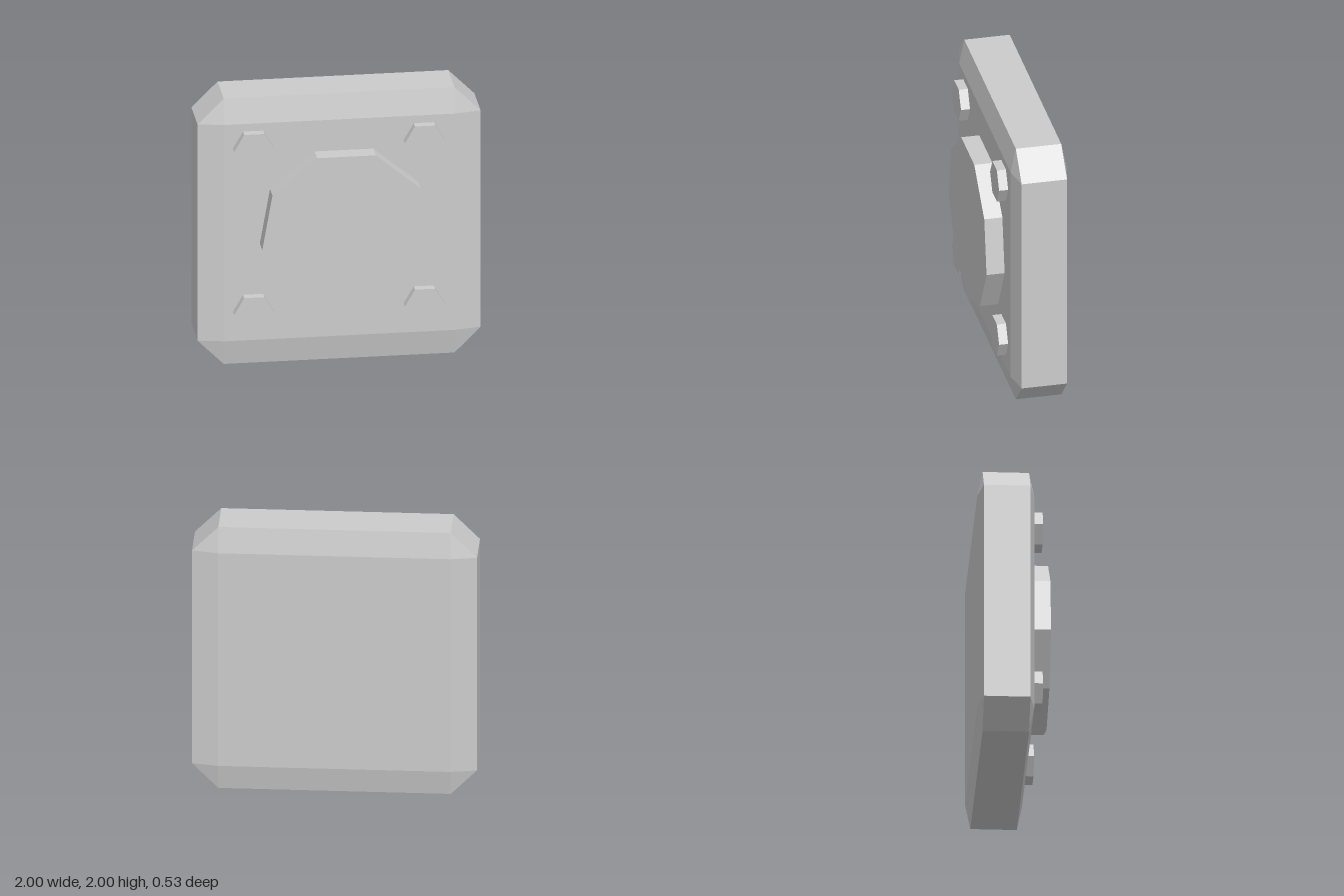
import * as THREE from 'three';
import { ConvexGeometry } from 'three/addons/geometries/ConvexGeometry.js';

const material = new THREE.MeshStandardMaterial({ color: 0xcccccc, flatShading: true });

// Flat prism whose axis points forward along z, from zBack to zFront
function addPrism(group, name, sides, radius, x, y, zBack, zFront, start = 0) {
  const depth = zFront - zBack;
  const geometry = new THREE.CylinderGeometry(radius, radius, depth, sides, 1, false, start);
  geometry.rotateX(Math.PI / 2);
  const mesh = new THREE.Mesh(geometry, material);
  mesh.name = name;
  mesh.position.set(x, y, (zBack + zFront) / 2);
  group.add(mesh);
}

// Box with chamfered edges and triangular corners: every corner gives three points
function chamferedBox(outer, inner) {
  const points = [];
  for (const sx of [-1, 1]) for (const sy of [-1, 1]) for (const sz of [-1, 1]) {
    points.push(
      new THREE.Vector3(sx * outer.x, sy * inner.y, sz * inner.z),
      new THREE.Vector3(sx * inner.x, sy * outer.y, sz * inner.z),
      new THREE.Vector3(sx * inner.x, sy * inner.y, sz * outer.z)
    );
  }
  return new ConvexGeometry(points);
}

export function createModel() {
  const group = new THREE.Group();
  group.name = 'mountingPlate';

  // Chamfered slab
  const slab = new THREE.Mesh(
    chamferedBox(new THREE.Vector3(1, 1, 0.2), new THREE.Vector3(0.815, 0.815, 0.163)),
    material
  );
  slab.name = 'slab';
  slab.position.set(0, 1, -0.065);
  group.add(slab);

  // Raised nine-sided disc, one corner pointing down
  addPrism(group, 'centreDisc', 9, 0.604, 0.03, 1.015, 0.12, 0.265);

  // Hexagonal bolt heads in the corners
  for (const [side, x] of [['Right', -0.612], ['Left', 0.594]]) {
    for (const [level, y] of [['lower', 0.405], ['upper', 1.635]]) {
      addPrism(group, `${level}${side}Bolt`, 6, 0.143, x, y, 0.12, 0.2, Math.PI / 6);
    }
  }
  return group;
}
